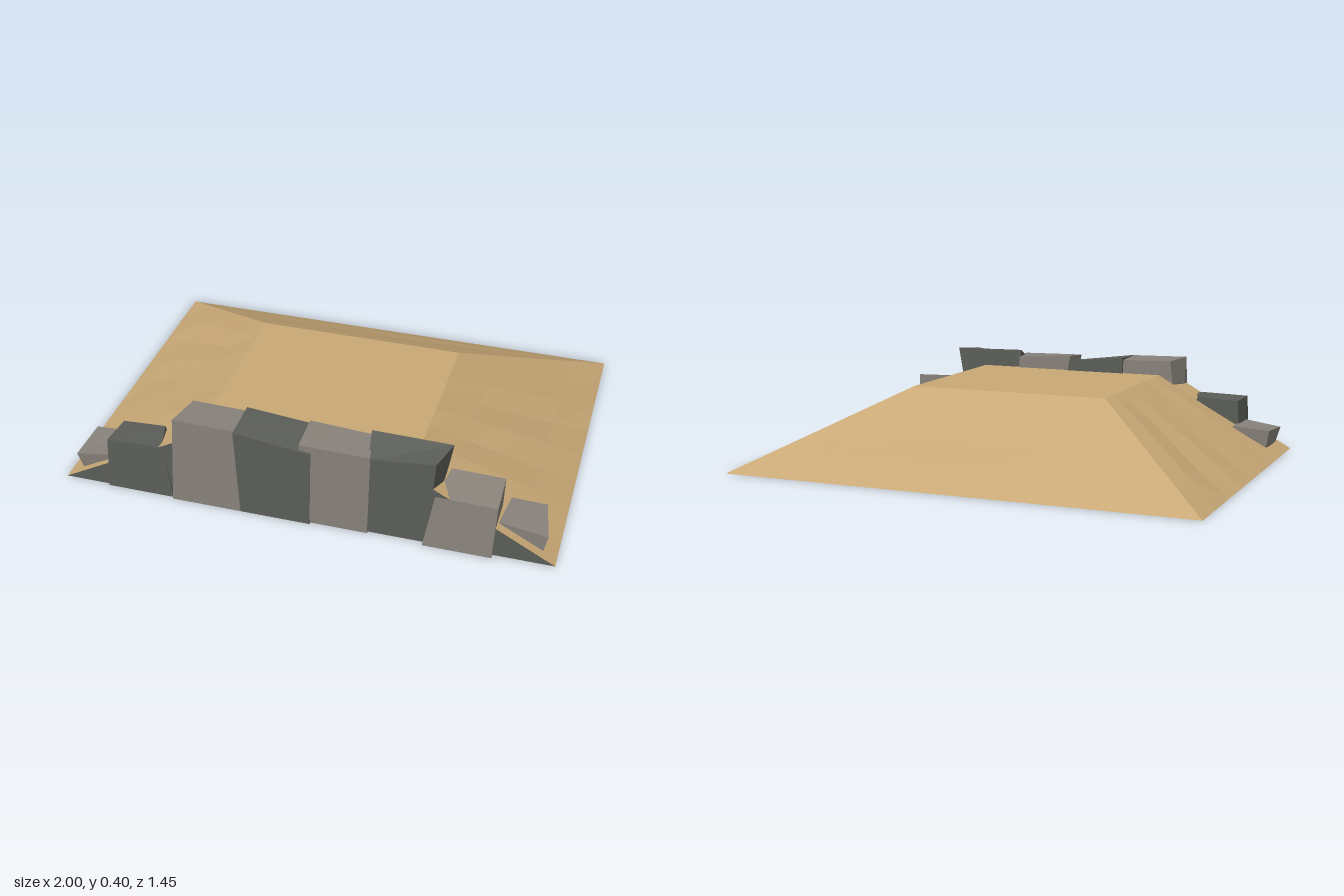
import * as THREE from 'three';

const flat = (name, color) => {
  const m = new THREE.MeshStandardMaterial({ color, flatShading: true, side: THREE.DoubleSide });
  m.name = name;
  return m;
};

// Subdivided four-corner patch, gently roughened away from its borders
function patch(a, b, c, d, nu, nv, rough) {
  const pos = [], index = [];
  for (let j = 0; j <= nv; j++) {
    for (let i = 0; i <= nu; i++) {
      const u = i / nu, v = j / nv;
      const p = a.clone().lerp(b, u).lerp(d.clone().lerp(c, u), v);
      const inside = i > 0 && i < nu && j > 0 && j < nv;
      if (inside) p.y += rough * Math.sin(i * 12.9 + j * 78.2 + a.x * 5);
      pos.push(p.x, p.y, p.z);
      if (i < nu && j < nv) {
        const k = j * (nu + 1) + i;
        index.push(k, k + 1, k + nu + 2, k, k + nu + 2, k + nu + 1);
      }
    }
  }
  const g = new THREE.BufferGeometry();
  g.setAttribute('position', new THREE.Float32BufferAttribute(pos, 3));
  g.setIndex(index);
  g.computeVertexNormals();
  return g;
}

// Open-bottomed block; back and front give [left x, right x, z, left y, right y] of the top edges
function stone(x0, x1, zBack, zFront, back, front) {
  const g = new THREE.BoxGeometry(1, 1, 1);
  const p = g.attributes.position;
  for (let i = 0; i < p.count; i++) {
    const right = p.getX(i) > 0, up = p.getY(i) > 0, fore = p.getZ(i) > 0;
    const t = fore ? front : back;
    if (up) p.setXYZ(i, right ? t[1] : t[0], right ? t[4] : t[3], t[2]);
    else p.setXYZ(i, right ? x1 : x0, 0, fore ? zFront : zBack);
  }
  const idx = Array.from(g.index.array);
  idx.splice(18, 6); // drop the underside
  g.setIndex(idx);
  g.clearGroups();
  g.computeVertexNormals();
  return g;
}

export function createModel() {
  const model = new THREE.Group();
  model.name = 'stoneFacedMound';
  const sand = flat('sand', 0xc8a876);
  const light = flat('light stone', 0x87817a);
  const dark = flat('dark stone', 0x5b5d58);

  const add = (name, geometry, material, parent = model) => {
    const mesh = new THREE.Mesh(geometry, material);
    mesh.name = name;
    parent.add(mesh);
  };

  // Earth ramp: flat top with three slopes, hollow below
  const H = 0.315, F = 0.7;
  const V = (x, y, z) => new THREE.Vector3(x, y, z);
  const topL = V(-0.43, H, -0.16), topR = V(0.43, H, -0.16);
  const frontL = V(-0.43, H, F), frontR = V(0.43, H, F);
  const footBL = V(-1, 0, -0.73), footBR = V(1, 0, -0.73);
  const footFL = V(-1, 0, F), footFR = V(1, 0, F);
  const mound = new THREE.Group();
  mound.name = 'mound';
  model.add(mound);
  add('moundTop', patch(frontL, frontR, topR, topL, 1, 1, 0), sand, mound);
  add('backSlope', patch(topL, topR, footBR, footBL, 7, 4, 0.003), sand, mound);
  add('rightSlope', patch(frontR, footFR, footBR, topR, 4, 8, 0.007), sand, mound);
  add('leftSlope', patch(topL, footBL, footFL, frontL, 4, 8, 0.007), sand, mound);

  // Stone backing that closes the front of the mound
  add('frontFace', patch(footFL, footFR, frontR, frontL, 1, 1, 0), dark);

  // Row of rough facing blocks, stepping down to both ends
  const wall = new THREE.Group();
  wall.name = 'stoneWall';
  model.add(wall);
  const blocks = [
    [light, -0.93, -0.79, 0.50, 0.66, [-0.95, -0.79, 0.49, 0.11, 0.12], [-0.96, -0.79, 0.67, 0.10, 0.125]],
    [dark, -0.81, -0.53, 0.56, 0.71, [-0.79, -0.61, 0.56, 0.22, 0.23], [-0.80, -0.57, 0.70, 0.225, 0.23]],
    [light, -0.53, -0.24, 0.56, 0.72, [-0.48, -0.26, 0.56, 0.38, 0.375], [-0.51, -0.26, 0.71, 0.385, 0.38]],
    [dark, -0.245, 0.04, 0.55, 0.72, [-0.26, 0.0, 0.55, 0.385, 0.36], [-0.26, 0.05, 0.72, 0.38, 0.34]],
    [light, 0.0, 0.27, 0.56, 0.71, [0.0, 0.25, 0.56, 0.38, 0.365], [0.0, 0.28, 0.71, 0.37, 0.365]],
    [dark, 0.26, 0.50, 0.57, 0.70, [0.25, 0.57, 0.575, 0.395, 0.39], [0.27, 0.53, 0.70, 0.35, 0.38]],
    [light, 0.49, 0.76, 0.55, 0.72, [0.56, 0.77, 0.55, 0.26, 0.255], [0.53, 0.77, 0.70, 0.23, 0.225]],
    [light, 0.77, 0.94, 0.51, 0.66, [0.79, 0.93, 0.50, 0.13, 0.125], [0.77, 0.96, 0.66, 0.13, 0.10]],
  ];
  blocks.forEach(([material, ...shape], i) => add('stone' + (i + 1), stone(...shape), material, wall));

  return model;
}
